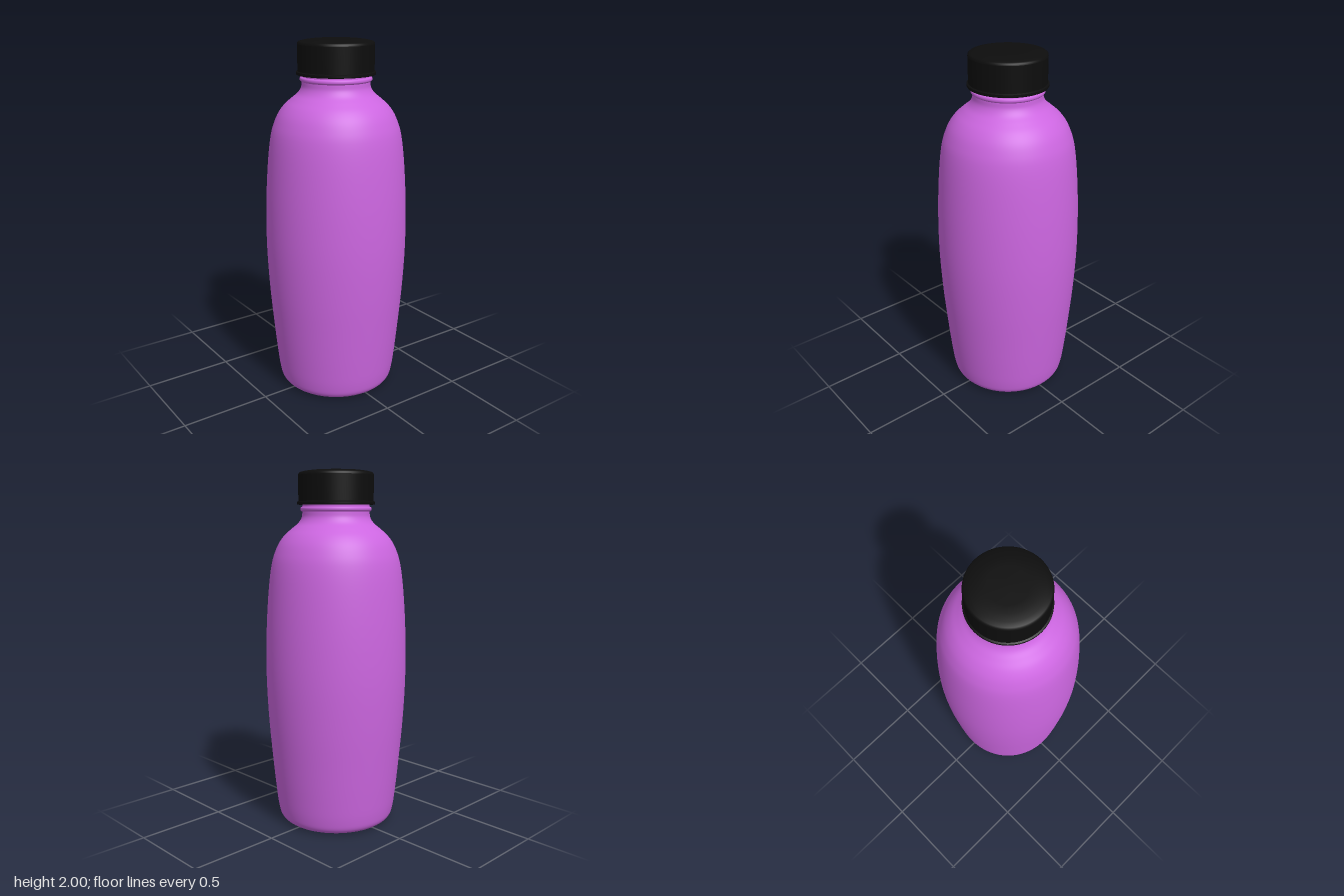
import * as THREE from 'three';

const SEGMENTS = 96;

// Turn a list of [radius, height] pairs, listed bottom to top, around the y axis.
function turned(name, profile, material, smoothSteps = 0) {
  let points = profile.map(([r, y]) => new THREE.Vector2(r, y));
  if (smoothSteps) {
    const curve = new THREE.CatmullRomCurve3(
      profile.map(([r, y]) => new THREE.Vector3(r, y, 0)), false, 'centripetal');
    points = curve.getPoints(smoothSteps).map((p) => new THREE.Vector2(p.x, p.y));
  }
  const mesh = new THREE.Mesh(new THREE.LatheGeometry(points, SEGMENTS), material);
  mesh.name = name;
  return mesh;
}

// Same, but each straight piece is its own surface so the edges stay sharp.
function turnedSharp(name, profile, material) {
  const group = new THREE.Group();
  group.name = name;
  for (let i = 0; i < profile.length - 1; i++) {
    group.add(turned(name + 'Face', [profile[i], profile[i + 1]], material));
  }
  return group;
}

export function createModel() {
  const purple = new THREE.MeshStandardMaterial({ color: 0xcc66e0, side: THREE.DoubleSide });
  const black = new THREE.MeshStandardMaterial({ color: 0x0d0d0d, side: THREE.DoubleSide });

  const bottle = new THREE.Group();
  bottle.name = 'bottle';

  // Flat underside
  bottle.add(turned('base', [[0, 0.004], [0.28, 0.004]], purple));

  // Rounded foot, bulging wall, shoulder and neck
  bottle.add(turned('body', [
    [0.28, 0.004], [0.306, 0.012], [0.326, 0.034], [0.338, 0.08],
    [0.353, 0.2], [0.372, 0.4], [0.388, 0.6], [0.398, 0.82], [0.398, 1.0],
    [0.39, 1.2], [0.373, 1.4], [0.357, 1.5], [0.342, 1.55], [0.317, 1.605],
    [0.283, 1.65], [0.243, 1.685], [0.208, 1.715], [0.19, 1.745], [0.186, 1.775],
  ], purple, 90));

  // Rounded bead around the neck
  bottle.add(turned('neckBead', [
    [0.184, 1.776], [0.19, 1.777], [0.196, 1.783], [0.197, 1.79],
    [0.195, 1.797], [0.188, 1.802], [0.184, 1.803],
  ], purple, 20));
  bottle.add(turned('neck', [[0.186, 1.77], [0.186, 1.85]], purple));

  // Screw cap with a slim flange at the bottom and a softened top rim
  const cap = new THREE.Group();
  cap.name = 'cap';
  cap.add(turnedSharp('capFlange', [
    [0.186, 1.813], [0.214, 1.813], [0.216, 1.817], [0.216, 1.828], [0.208, 1.832],
  ], black));
  cap.add(turned('capWall', [[0.208, 1.832], [0.208, 1.972]], black));
  cap.add(turned('capTop', [
    [0.208, 1.972], [0.206, 1.981], [0.199, 1.987], [0.175, 1.993],
    [0.14, 1.998], [0.1, 2], [0, 2],
  ], black));
  bottle.add(cap);

  return bottle;
}
